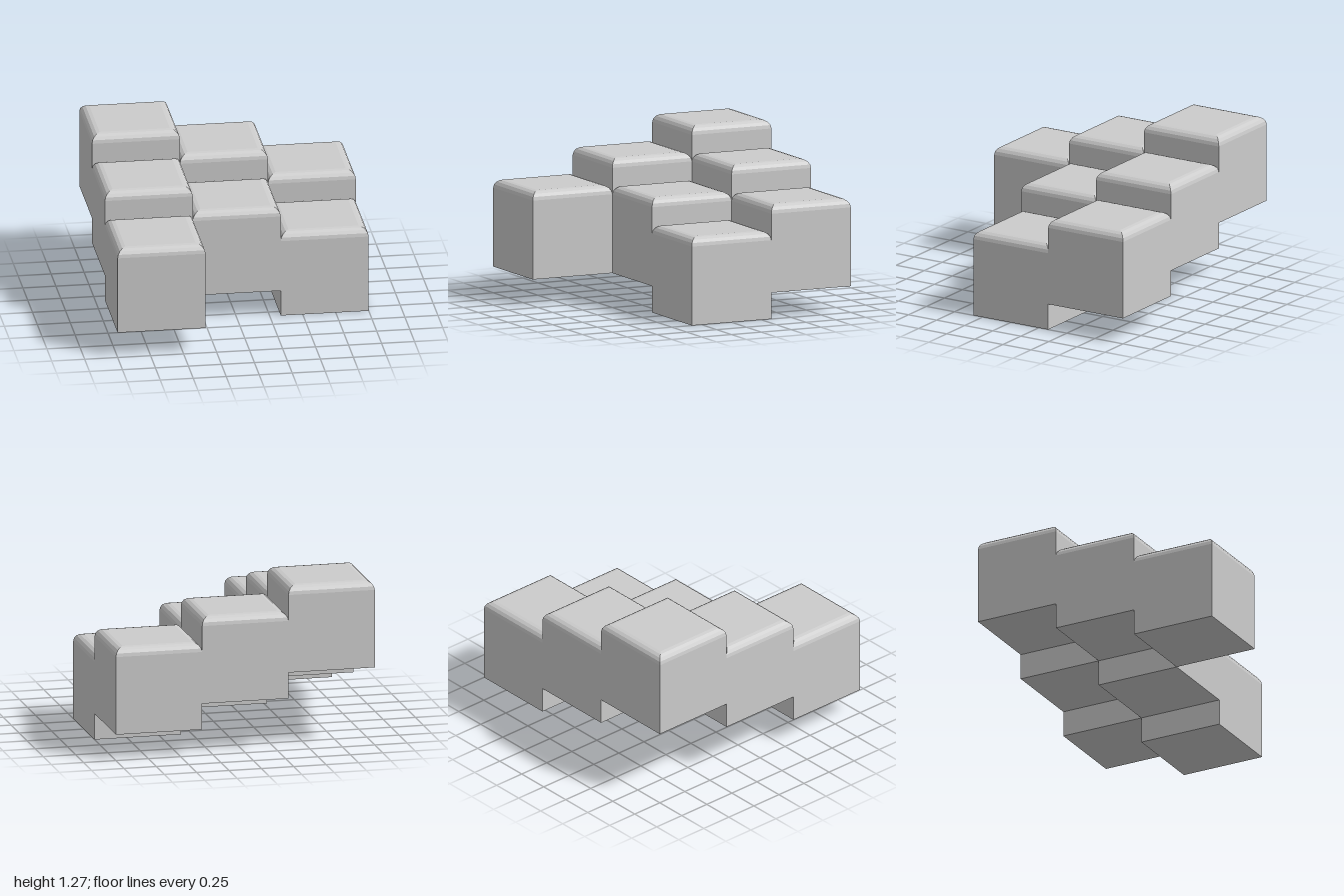
import * as THREE from 'three';

const SIZE = 2 / 3;    // edge length of one block
const BEVEL = 0.067;   // radius of the rounded top edges
const STEP = 0.2;      // height lost per cell away from the highest corner

// Square block with rounded, mitred top edges: a four-sided lathe
function blockGeometry() {
  const half = SIZE / 2, segments = 4;
  const points = [new THREE.Vector2(0, 0), new THREE.Vector2(half * Math.SQRT2, 0)];
  for (let i = 0; i <= segments; i++) {
    const a = (i / segments) * Math.PI / 2;
    const inset = BEVEL * (1 - Math.cos(a));
    points.push(new THREE.Vector2((half - inset) * Math.SQRT2, SIZE - BEVEL + BEVEL * Math.sin(a)));
  }
  points.push(new THREE.Vector2(0, SIZE));
  const geometry = new THREE.LatheGeometry(points, 4, Math.PI / 4).toNonIndexed();
  geometry.computeVertexNormals();
  return geometry;
}

export function createModel() {
  const group = new THREE.Group();
  group.name = 'steppedBlocks';
  const lightGrey = new THREE.MeshStandardMaterial({ color: 0xcccccc, flatShading: true });
  lightGrey.name = 'lightGrey';
  const geometry = blockGeometry();

  // Blocks per row, from back to front; each step right or forward drops a level
  [3, 3, 1].forEach((count, row) => {
    for (let column = 0; column < count; column++) {
      const block = new THREE.Mesh(geometry, lightGrey);
      block.name = `block_row${row + 1}_column${column + 1}`;
      block.position.set((column - 1) * SIZE, (3 - row - column) * STEP, (row - 1) * SIZE);
      group.add(block);
    }
  });
  return group;
}
